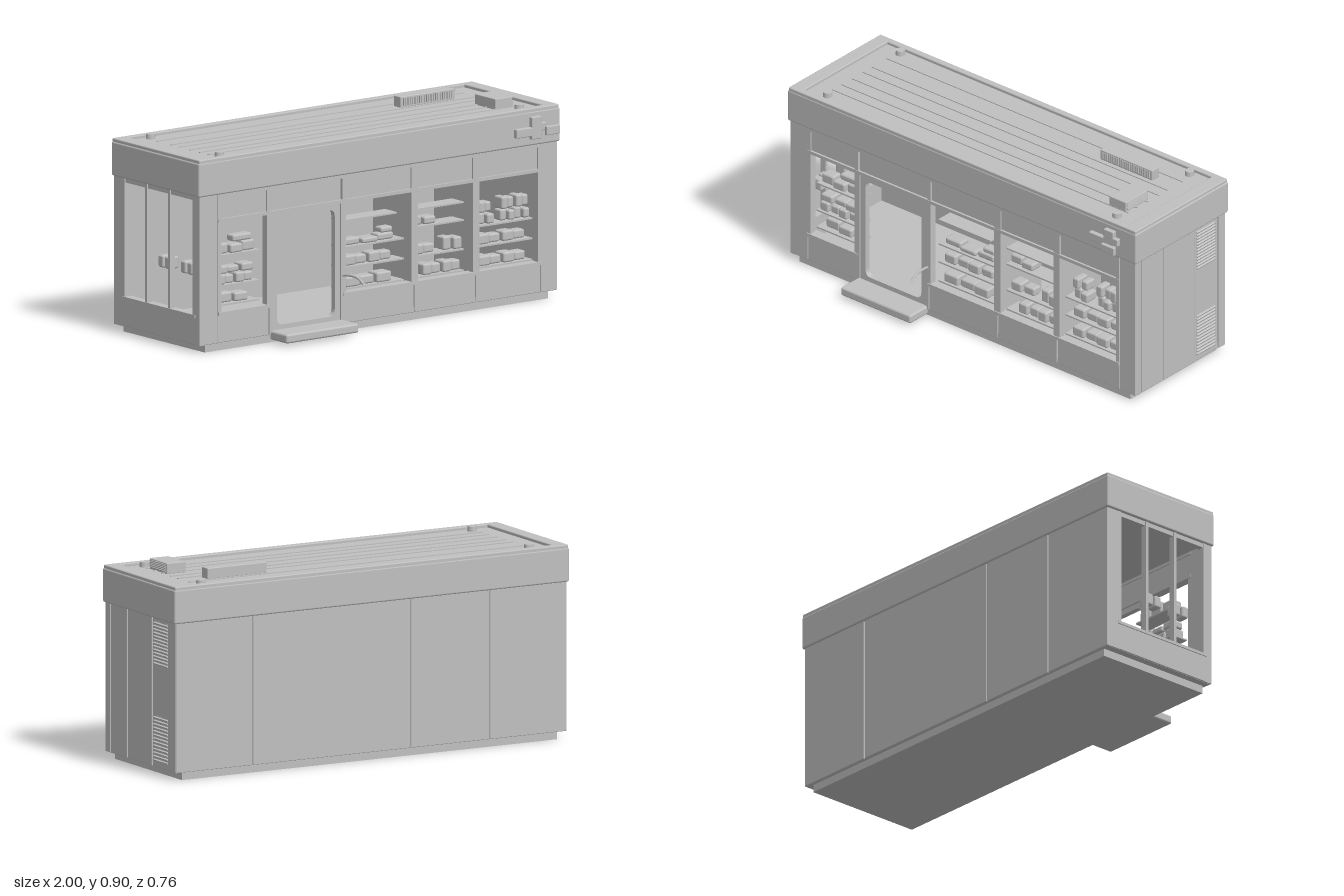
import * as THREE from 'three';
import { RoundedBoxGeometry } from 'three/addons/geometries/RoundedBoxGeometry.js';

export function createModel() {
  const root = new THREE.Group();
  const grey = new THREE.MeshStandardMaterial({ color: 0xc0c0c0 });
  grey.name = 'plainGrey';

  const group = (name) => {
    const g = new THREE.Group();
    g.name = name;
    root.add(g);
    return g;
  };
  const add = (parent, name, geometry) => {
    const m = new THREE.Mesh(geometry, grey);
    m.name = name;
    parent.add(m);
    return m;
  };
  // Box given by its limits; r > 0 rounds the edges
  const box = (parent, name, x0, x1, y0, y1, z0, z1, r = 0) => {
    const s = [x1 - x0, y1 - y0, z1 - z0];
    const m = add(parent, name, r ? new RoundedBoxGeometry(...s, 2, r) : new THREE.BoxGeometry(...s));
    m.position.set((x0 + x1) / 2, (y0 + y1) / 2, (z0 + z1) / 2);
    return m;
  };

  // Plinth, floor and fascia
  const shell = group('shell');
  box(shell, 'plinth', -0.95, 0.95, 0, 0.036, -0.355, 0.225);
  box(shell, 'floor', -0.985, 0.985, 0.035, 0.06, -0.365, 0.235);
  box(shell, 'fascia', -1, 1, 0.7, 0.852, -0.378, 0.248, 0.008);

  // Back wall with cladding panels
  box(shell, 'backWall', -0.985, 0.985, 0.035, 0.71, -0.365, -0.34);
  const backSeams = [-0.99, -0.6, -0.2, 0.6, 0.99];
  for (let i = 0; i < 4; i++)
    box(shell, 'backPanel', backSeams[i] + 0.002, backSeams[i + 1] - 0.002, 0.036, 0.705, -0.371, -0.36, 0.003);

  // Left end wall with cladding and louvred vents
  box(shell, 'leftWall', 0.955, 0.983, 0.035, 0.71, -0.365, 0.235);
  const endSeams = [-0.37, -0.322, -0.165, 0.05, 0.197, 0.24];
  for (let i = 0; i < 5; i++)
    box(shell, 'leftPanel', 0.978, i === 1 ? 0.986 : 0.99, 0.036, 0.705,
      endSeams[i] + 0.002, endSeams[i + 1] - 0.002, 0.003);
  const vents = group('sideVents');
  for (const [y0, y1] of [[0.06, 0.265], [0.49, 0.685]]) {
    box(vents, 'ventBack', 0.98, 0.987, y0, y1, -0.302, -0.175);
    const n = 13;
    for (let i = 0; i < n; i++) {
      const y = y0 + (y1 - y0) * (i + 0.5) / n;
      const slat = box(vents, 'slat', 0.983, 0.993, y - 0.003, y + 0.003, -0.3, -0.177);
      slat.rotation.z = -0.5;
    }
  }

  // Right end wall with three tall window bays
  const rightEnd = group('rightEnd');
  box(rightEnd, 'lowerWall', -0.99, -0.96, 0.036, 0.16, -0.37, 0.24, 0.003);
  box(rightEnd, 'sill', -0.995, -0.955, 0.157, 0.17, -0.31, 0.21);
  box(rightEnd, 'header', -0.988, -0.96, 0.68, 0.71, -0.37, 0.24);
  box(rightEnd, 'backPost', -0.99, -0.96, 0.036, 0.705, -0.37, -0.3);
  box(rightEnd, 'frontPost', -0.99, -0.96, 0.036, 0.705, 0.2, 0.24);
  for (const z of [-0.3, -0.14, 0.025, 0.2])
    box(rightEnd, 'mullion', -0.992, -0.965, 0.16, 0.7, z - 0.008, z + 0.008);

  // Shop front: posts, lower panels and transom panels
  const front = group('shopFront');
  box(front, 'cornerPost', -0.99, -0.89, 0.036, 0.705, 0.205, 0.24, 0.003);
  box(front, 'cornerPost', 0.9, 0.99, 0.036, 0.705, 0.205, 0.24, 0.003);
  const bays = [[-0.89, -0.6], [-0.2, 0.2], [0.2, 0.54], [0.54, 0.9]];
  for (const [a, b] of bays) {
    box(front, 'lowerPanel', a + 0.002, b - 0.002, 0.036, 0.165, 0.205, 0.238, 0.003);
    box(front, 'sill', a, b, 0.16, 0.174, 0.2, 0.248);
    for (const x of [a + 0.009, b - 0.009])
      box(front, 'jamb', x - 0.009, x + 0.009, 0.165, 0.7, 0.21, 0.243);
  }
  for (const [a, b] of [...bays, [-0.6, -0.2]]) {
    box(front, 'transom', a + 0.004, b - 0.004, 0.585, 0.705, 0.21, 0.235, 0.003);
    box(front, 'transomRail', a, b, 0.575, 0.59, 0.205, 0.245);
    box(front, 'topRail', a, b, 0.686, 0.702, 0.205, 0.243);
  }

  // Door frame with a rounded opening
  const frame = new THREE.Shape();
  frame.moveTo(-0.6, 0.036).lineTo(-0.2, 0.036).lineTo(-0.2, 0.58).lineTo(-0.6, 0.58).closePath();
  const hole = new THREE.Path();
  const [l, r, b, t, c] = [-0.56, -0.24, 0.075, 0.55, 0.03];
  hole.moveTo(l + c, b).lineTo(r - c, b).quadraticCurveTo(r, b, r, b + c)
    .lineTo(r, t - c).quadraticCurveTo(r, t, r - c, t)
    .lineTo(l + c, t).quadraticCurveTo(l, t, l, t - c)
    .lineTo(l, b + c).quadraticCurveTo(l, b, l + c, b);
  frame.holes.push(hole);
  add(front, 'doorFrame', new THREE.ExtrudeGeometry(frame, { depth: 0.025, bevelEnabled: false, curveSegments: 4 }))
    .position.z = 0.213;
  for (const x of [-0.598, -0.202])
    box(front, 'doorPost', x - 0.008, x + 0.008, 0.04, 0.58, 0.21, 0.245);

  // Door step and curved handle
  box(root, 'doorStep', -0.6, -0.2, 0.015, 0.056, 0.235, 0.36, 0.01);
  const bar = new THREE.CatmullRomCurve3([
    [-0.2, 0.25, 0.235], [-0.195, 0.258, 0.28], [-0.19, 0.254, 0.34], [-0.185, 0.23, 0.375],
  ].map((p) => new THREE.Vector3(...p)));
  add(root, 'doorHandle', new THREE.TubeGeometry(bar, 12, 0.006, 6));

  // Interior partitions
  const inside = group('interior');
  for (const x of [0.2, 0.54])
    box(inside, 'partition', x - 0.006, x + 0.006, 0.06, 0.58, -0.05, 0.21);

  // Shelves: x from, x to, height
  const shelves = [
    [-0.87, -0.63, 0.19], [-0.87, -0.63, 0.275], [-0.87, -0.63, 0.41],
    [-0.17, 0.17, 0.175], [-0.17, 0.17, 0.27], [-0.17, 0.17, 0.36], [-0.17, 0.13, 0.48],
    [0.22, 0.5, 0.175], [0.22, 0.5, 0.27], [0.22, 0.5, 0.4], [0.22, 0.5, 0.48],
    [0.56, 0.88, 0.175], [0.56, 0.88, 0.27], [0.56, 0.88, 0.36],
  ];
  for (const [a, e, y] of shelves) box(inside, 'shelf', a, e, y, y + 0.007, 0.12, 0.205);

  // Goods: x from, x to, base height, item height, count
  const goods = [
    [-0.84, -0.68, 0.197, 0.045, 2], [-0.86, -0.65, 0.282, 0.045, 4], [-0.86, -0.65, 0.328, 0.035, 3],
    [-0.86, -0.64, 0.417, 0.045, 3], [-0.76, -0.65, 0.462, 0.03, 1],
    [-0.15, 0.11, 0.182, 0.045, 3], [-0.15, 0.12, 0.277, 0.045, 4], [-0.15, 0.13, 0.367, 0.03, 3],
    [0.06, 0.13, 0.397, 0.025, 1],
    [0.28, 0.5, 0.182, 0.05, 4], [0.23, 0.36, 0.277, 0.045, 2], [0.4, 0.5, 0.277, 0.06, 2],
    [0.22, 0.36, 0.407, 0.04, 2],
    [0.59, 0.86, 0.182, 0.045, 4], [0.59, 0.86, 0.277, 0.045, 4],
    [0.59, 0.68, 0.367, 0.05, 2], [0.72, 0.88, 0.367, 0.05, 4],
    [0.59, 0.67, 0.42, 0.05, 2], [0.72, 0.88, 0.42, 0.055, 4],
  ];
  goods.forEach(([a, e, y, h, n], row) => {
    const w = (e - a) / n;
    for (let i = 0; i < n; i++) {
      const dz = ((row * 3 + i * 2) % 4) * 0.006;
      box(inside, 'goods', a + i * w + 0.003, a + (i + 1) * w - 0.003, y, y + h - (i % 2) * 0.006,
        0.13, 0.18 + dz, 0.009);
    }
  });
  for (const z of [-0.06, 0.1])
    for (const dz of [-0.025, 0.02])
      box(inside, 'sideGoods', -0.955, -0.9, 0.33, 0.385, z + dz - 0.018, z + dz + 0.018, 0.009);

  // Roof rim, seams and corner caps
  const roof = group('roof');
  for (const s of [-1, 1]) box(roof, 'endRim', s * 0.963 - 0.033, s * 0.963 + 0.033, 0.84, 0.866, -0.376, 0.246, 0.005);
  box(roof, 'backRim', -0.99, 0.99, 0.84, 0.866, -0.376, -0.345, 0.005);
  box(roof, 'frontRim', -0.99, 0.99, 0.84, 0.866, 0.212, 0.246, 0.005);
  for (const z of [-0.245, -0.145, -0.085, -0.01, 0.06, 0.12])
    box(roof, 'seam', -0.85, 0.85, 0.85, 0.856, z - 0.003, z + 0.003);
  for (const x of [-0.83, 0.83])
    for (const z of [-0.315, 0.175])
      add(roof, 'cornerCap', new THREE.CylinderGeometry(0.02, 0.022, 0.026, 12)).position.set(x, 0.861, z);

  // Rooftop units
  box(roof, 'longUnit', 0.44, 0.74, 0.85, 0.9, -0.218, -0.168, 0.004);
  for (let i = 0; i < 22; i++) {
    const x = 0.457 + i * 0.0127;
    box(roof, 'longUnitFin', x - 0.003, x + 0.003, 0.86, 0.893, -0.17, -0.163);
  }
  box(roof, 'squareUnit', 0.74, 0.835, 0.85, 0.9, -0.028, 0.122, 0.004);
  for (let i = 0; i < 5; i++)
    box(roof, 'squareUnitFin', 0.832, 0.841, 0.861 + i * 0.0075, 0.8645 + i * 0.0075, -0.02, 0.114);

  // Plain raised ornament on the fascia, with a small detached plate
  const sign = group('fasciaOrnament');
  box(sign, 'upright', 0.83, 0.885, 0.73, 0.83, 0.24, 0.268, 0.004);
  box(sign, 'lowArm', 0.745, 0.84, 0.745, 0.785, 0.24, 0.268, 0.004);
  box(sign, 'highArm', 0.875, 0.91, 0.765, 0.8, 0.24, 0.268, 0.004);
  box(sign, 'detachedPlate', 0.865, 0.94, 0.755, 0.795, 0.31, 0.328, 0.004);

  return root;
}
